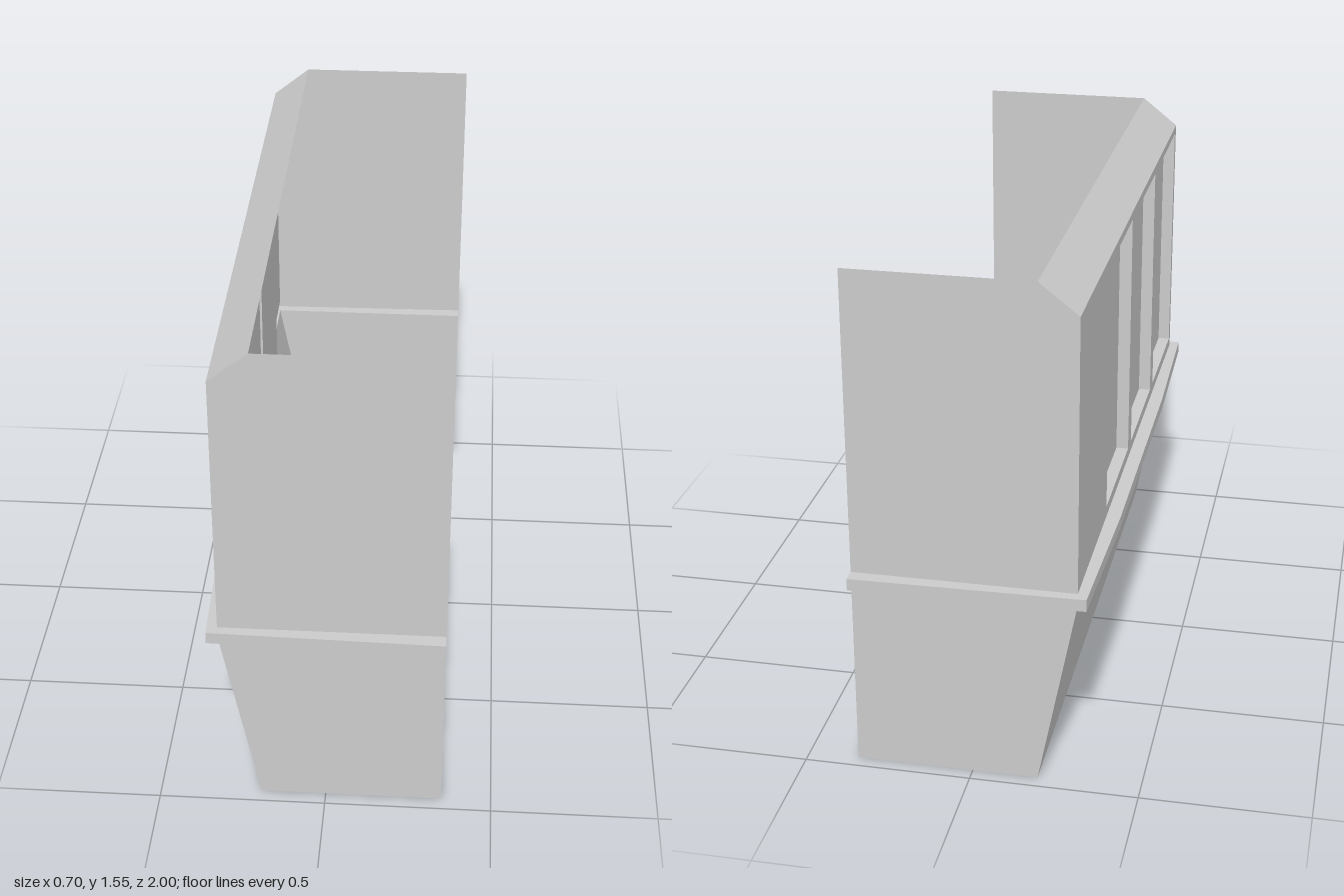
import * as THREE from 'three';

const BACK = -0.31, SILL = -0.195, OPEN = 0.35, END = 0.957;
const BAND_LOW = 0.59, BAND_HIGH = 0.627, EAVE = 1.456, TOP = 1.547;

export function createModel() {
  const group = new THREE.Group();
  const material = new THREE.MeshStandardMaterial({
    color: 0xcccccc, side: THREE.DoubleSide, flatShading: true,
  });

  function add(name, geometry, parent = group) {
    const mesh = new THREE.Mesh(geometry, material);
    mesh.name = name;
    parent.add(mesh);
    return mesh;
  }

  // Sheet between two polylines with the same number of points
  function strip(a, b) {
    const pos = [];
    for (let i = 0; i < a.length - 1; i++) {
      pos.push(...a[i], ...b[i], ...b[i + 1], ...a[i], ...b[i + 1], ...a[i + 1]);
    }
    const g = new THREE.BufferGeometry();
    g.setAttribute('position', new THREE.Float32BufferAttribute(pos, 3));
    g.computeVertexNormals();
    return g;
  }

  const outline = (pts) => new THREE.Shape(pts.map(([x, y]) => new THREE.Vector2(x, y)));
  const rect = (u0, u1, v0, v1) => [[u0, v0], [u1, v0], [u1, v1], [u0, v1]];

  // End panels, upper and lower, mirrored front and back
  const upper = outline([[BACK, BAND_HIGH], [OPEN, BAND_HIGH], [OPEN, TOP], [SILL, TOP], [BACK, EAVE]]);
  const lower = outline([[SILL, 0], [OPEN, 0], [OPEN, BAND_LOW], [BACK, BAND_LOW]]);
  for (const [side, s] of [['front', 1], ['rear', -1]]) {
    for (const [part, shape] of [['UpperPanel', upper], ['LowerPanel', lower]]) {
      const g = new THREE.ShapeGeometry(shape);
      if (s < 0) { // turn to face outward, keeping x
        g.scale(-1, 1, 1);
        g.setIndex([...g.index.array].reverse());
        g.rotateY(Math.PI);
        g.computeVertexNormals();
      }
      add(side + part, g).position.z = s * END;
    }
  }

  // Side wall with three window openings
  const windows = [[0.505, 0.93], [0.015, 0.445], [-0.47, -0.045]];
  const y0 = 0.66, y1 = 1.43, depth = 0.038;
  const wall = outline(rect(-END, END, BAND_HIGH, EAVE));
  for (const [z0, z1] of windows) {
    wall.holes.push(new THREE.Path(outline(rect(z0, z1, y0, y1)).getPoints().reverse()));
  }
  add('sideWall', new THREE.ShapeGeometry(wall).rotateY(-Math.PI / 2)).position.x = BACK;

  // Window recesses: four reveals and a pane set inward
  windows.forEach(([z0, z1], i) => {
    const recess = new THREE.Group();
    recess.name = 'window' + (i + 1);
    group.add(recess);
    const loop = (x) => [...rect(z0, z1, y0, y1), [z0, y0]].map(([z, y]) => [x, y, z]);
    add('windowReveal', strip(loop(BACK), loop(BACK + depth)), recess);
    const pane = new THREE.PlaneGeometry(z1 - z0, y1 - y0).rotateY(-Math.PI / 2);
    add('windowPane', pane, recess).position.set(BACK + depth, (y0 + y1) / 2, (z0 + z1) / 2);
  });

  // Sloped eave and sloped lower skirt
  const edge = (x, y) => [[x, y, -END], [x, y, END]];
  add('slopedEave', strip(edge(BACK, EAVE), edge(SILL, TOP)));
  add('lowerSkirt', strip(edge(SILL, 0), edge(BACK, BAND_LOW)));

  // Belt rail: channel bulging outward, open on the inside and at its ends
  const inner = [[OPEN, -END], [BACK, -END], [BACK, -0.47], [BACK, 0.45], [BACK, END], [OPEN, END]];
  const outer = [[OPEN, -1], [-0.34, -0.988], [-0.353, -0.47], [-0.353, 0.45], [-0.34, 0.985], [OPEN, 1]];
  const at = (line, y) => line.map(([x, z]) => [x, y, z]);
  const rail = new THREE.Group();
  rail.name = 'beltRail';
  group.add(rail);
  add('railTop', strip(at(outer, BAND_HIGH), at(inner, BAND_HIGH)), rail);
  add('railFace', strip(at(outer, BAND_LOW), at(outer, BAND_HIGH)), rail);
  add('railUnderside', strip(at(inner, BAND_LOW), at(outer, BAND_LOW)), rail);

  return group;
}
